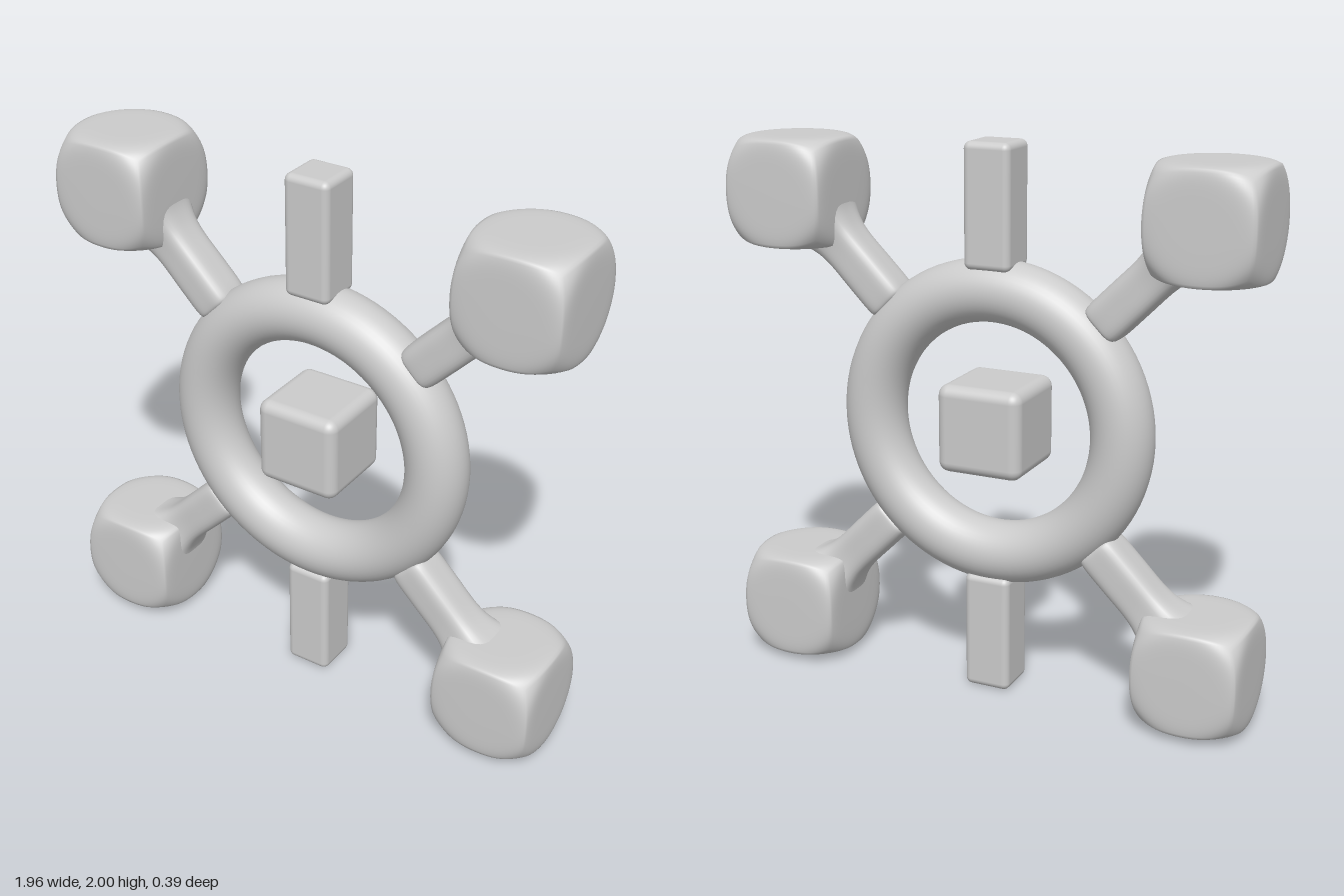
import * as THREE from 'three';
import { mergeVertices } from 'three/addons/utils/BufferGeometryUtils.js';
import { RoundedBoxGeometry } from 'three/addons/geometries/RoundedBoxGeometry.js';

const material = new THREE.MeshStandardMaterial({ color: 0xcccccc });
const CENTER_Y = 1;

// Moves every vertex by a rule, then welds and smooths the result.
function reshape(geometry, rule) {
  geometry.deleteAttribute('uv');
  geometry.deleteAttribute('normal');
  const pos = geometry.attributes.position;
  const v = new THREE.Vector3();
  for (let i = 0; i < pos.count; i++) {
    rule(v.fromBufferAttribute(pos, i));
    pos.setXYZ(i, v.x, v.y, v.z);
  }
  const welded = mergeVertices(geometry, 1e-5);
  welded.computeVertexNormals();
  return welded;
}

// Cube whose corners are softly clipped by a sphere.
function knobGeometry(size, radius) {
  return reshape(new THREE.BoxGeometry(size, size, size, 28, 28, 28), (v) => {
    v.multiplyScalar(Math.pow(1 + Math.pow(v.length() / radius, 18), -1 / 18));
  });
}

// Rounded-square arm along +y, flaring out where it meets the knob.
function armGeometry() {
  const profile = [
    [0, 0.56], [0.045, 0.56], [0.068, 0.568], [0.078, 0.595], [0.079, 0.7],
    [0.079, 0.82], [0.089, 0.89], [0.113, 0.948], [0.155, 0.995],
  ].map(([r, y]) => new THREE.Vector2(r, y));
  const points = new THREE.SplineCurve(profile).getPoints(48);
  points.forEach((p) => { p.x = Math.max(p.x, 0); });
  return reshape(new THREE.LatheGeometry(points, 48), (v) => {
    const r = Math.hypot(v.x, v.z);
    if (r < 1e-6) return;
    const k = Math.pow((v.x / r) ** 4 + (v.z / r) ** 4, -1 / 4);
    v.x *= k;
    v.z *= k;
  });
}

export function createModel() {
  const model = new THREE.Group();
  model.name = 'spokedRing';

  function add(name, geometry, x, y, z = 0) {
    const mesh = new THREE.Mesh(geometry, material);
    mesh.name = name;
    mesh.position.set(x, y, z);
    model.add(mesh);
    return mesh;
  }

  // Ring and floating centre block
  add('ring', new THREE.TorusGeometry(0.4825, 0.1125, 40, 96), 0, CENTER_Y);
  add('centerBlock', new RoundedBoxGeometry(0.32, 0.32, 0.32, 5, 0.04), 0, CENTER_Y);

  // Upright bars above and below the ring
  const bar = new RoundedBoxGeometry(0.174, 0.44, 0.174, 4, 0.025);
  add('topBar', bar, 0, 1.78);
  add('bottomBar', bar, 0, 0.22);

  // Four diagonal arms, each carrying a knob
  const arm = armGeometry();
  const knob = knobGeometry(0.392, 0.276);
  for (const sx of [-1, 1]) {
    for (const sy of [-1, 1]) {
      const label = (sy > 0 ? 'upper' : 'lower') + (sx > 0 ? 'Left' : 'Right');
      add(label + 'Arm', arm, 0, CENTER_Y).rotation.z = Math.atan2(-sx, sy);
      add(label + 'Knob', knob, sx * 0.785, CENTER_Y + sy * 0.785);
    }
  }
  return model;
}
